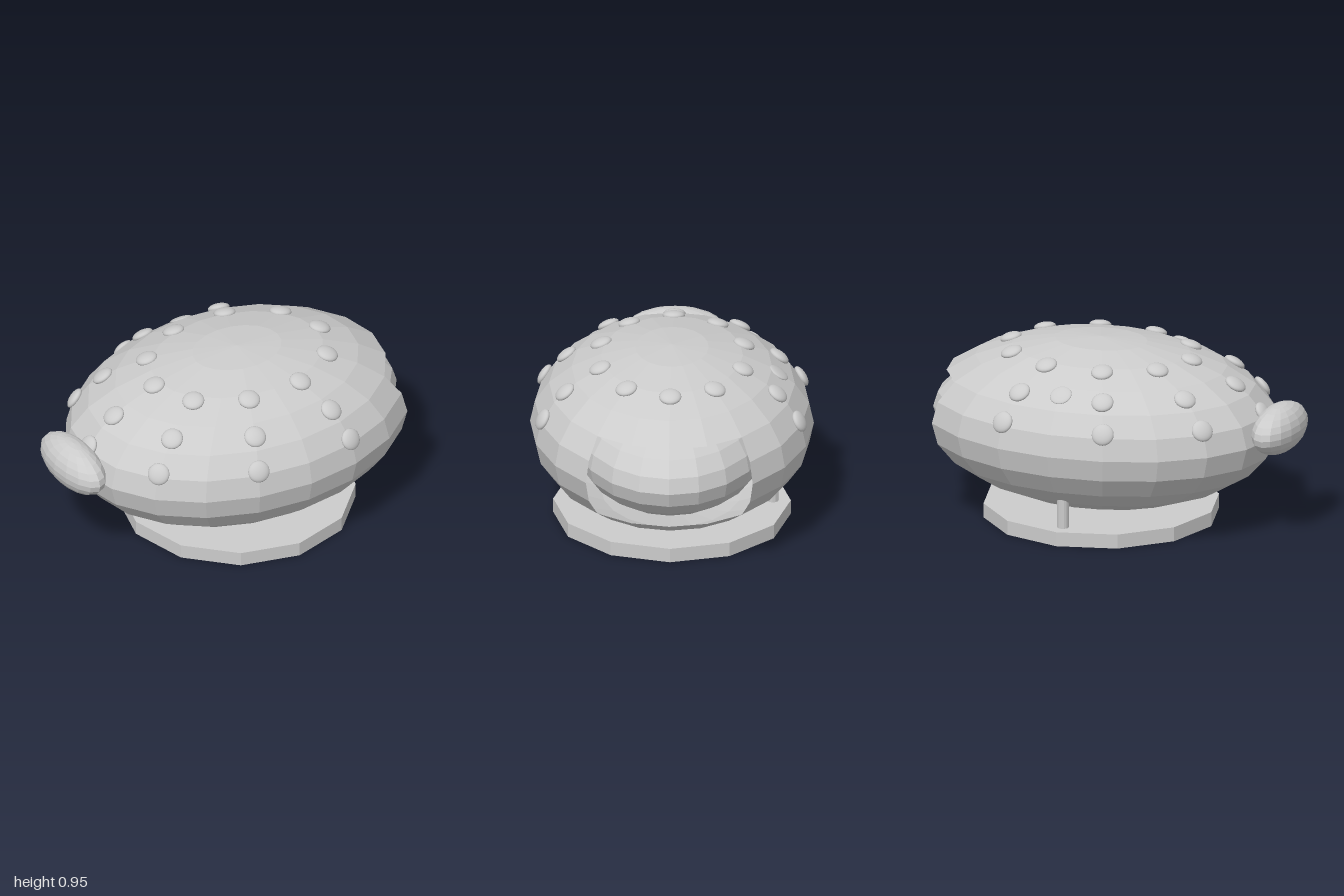
import * as THREE from 'three';

const RAD = Math.PI / 180;
const flat = new THREE.MeshStandardMaterial({ color: 0xcccccc, flatShading: true });
const shellMat = new THREE.MeshStandardMaterial({ color: 0xcccccc, flatShading: true, side: THREE.DoubleSide });
const smooth = new THREE.MeshStandardMaterial({ color: 0xcccccc });

// Body ellipsoid: centre and radii
const C = new THREE.Vector3(0.1, 0.512, 0);
const R = new THREE.Vector3(0.94, 0.435, 0.725);

function add(parent, name, geometry, material, x, y, z) {
  const mesh = new THREE.Mesh(geometry, material);
  mesh.name = name;
  mesh.position.set(x, y, z);
  parent.add(mesh);
  return mesh;
}

function ellipsoid(rx, ry, rz, w, h) {
  return new THREE.SphereGeometry(1, w, h).scale(rx, ry, rz);
}

// Part of the body shell between two polar angles (degrees)
function shellPart(w, h, phi0, phiLen, theta0, thetaLen) {
  return new THREE.SphereGeometry(1, w, h, phi0 * RAD, phiLen * RAD, theta0 * RAD, thetaLen * RAD)
    .scale(R.x, R.y, R.z);
}

// Flattened stud lying on the body; azimuth 0 is +x, 90 is +z
function addStud(parent, name, theta, azimuth, thickness, sink = 1) {
  const s = Math.sin(theta * RAD);
  const d = new THREE.Vector3(s * Math.cos(azimuth * RAD), Math.cos(theta * RAD), s * Math.sin(azimuth * RAD));
  const p = d.clone().multiply(R).multiplyScalar(sink).add(C);
  const stud = add(parent, name, ellipsoid(0.057, thickness, 0.057, 20, 12), smooth, p.x, p.y, p.z);
  stud.quaternion.setFromUnitVectors(new THREE.Vector3(0, 1, 0), d.divide(R).normalize());
}

export function createModel() {
  const model = new THREE.Group();
  model.name = 'studdedShell';

  // Hollow shell with an opening facing +x
  const shell = new THREE.Group();
  shell.name = 'shell';
  model.add(shell);
  add(shell, 'shellTop', shellPart(20, 4, 0, 360, 0, 60), shellMat, C.x, C.y, C.z);
  add(shell, 'shellBand', shellPart(16, 4, 216, 288, 60, 60), shellMat, C.x, C.y, C.z);
  add(shell, 'shellBottom', shellPart(20, 4, 0, 360, 120, 60), shellMat, C.x, C.y, C.z);

  // Rounded core filling the opening
  add(model, 'core', ellipsoid(0.72, 0.3, 0.5, 20, 12), flat, 0.28, C.y, 0);

  // Knob on the closed end
  add(model, 'knob', ellipsoid(0.115, 0.125, 0.26, 16, 12), flat, -0.885, 0.575, 0);

  // Three rings of studs; the lower two leave the opening clear
  const studs = new THREE.Group();
  studs.name = 'studs';
  model.add(studs);
  for (const theta of [32, 52, 72]) {
    for (let k = 0; k < 10; k++) {
      const nearOpening = k < 2 || k === 9;
      if (theta > 32 && nearOpening) continue;
      addStud(studs, 'stud', theta, k * 36, 0.025);
    }
  }
  addStud(studs, 'sunkenStud', 49.5, 270, 0.013, 0.99);

  // Twelve-sided base and its small rear post
  add(model, 'base', new THREE.CylinderGeometry(0.607, 0.607, 0.075, 12), flat, 0.1, 0.0375, 0);
  add(model, 'rearPost', new THREE.CylinderGeometry(0.03, 0.03, 0.22, 12), flat, 0.1, 0.18, -0.515);

  return model;
}
